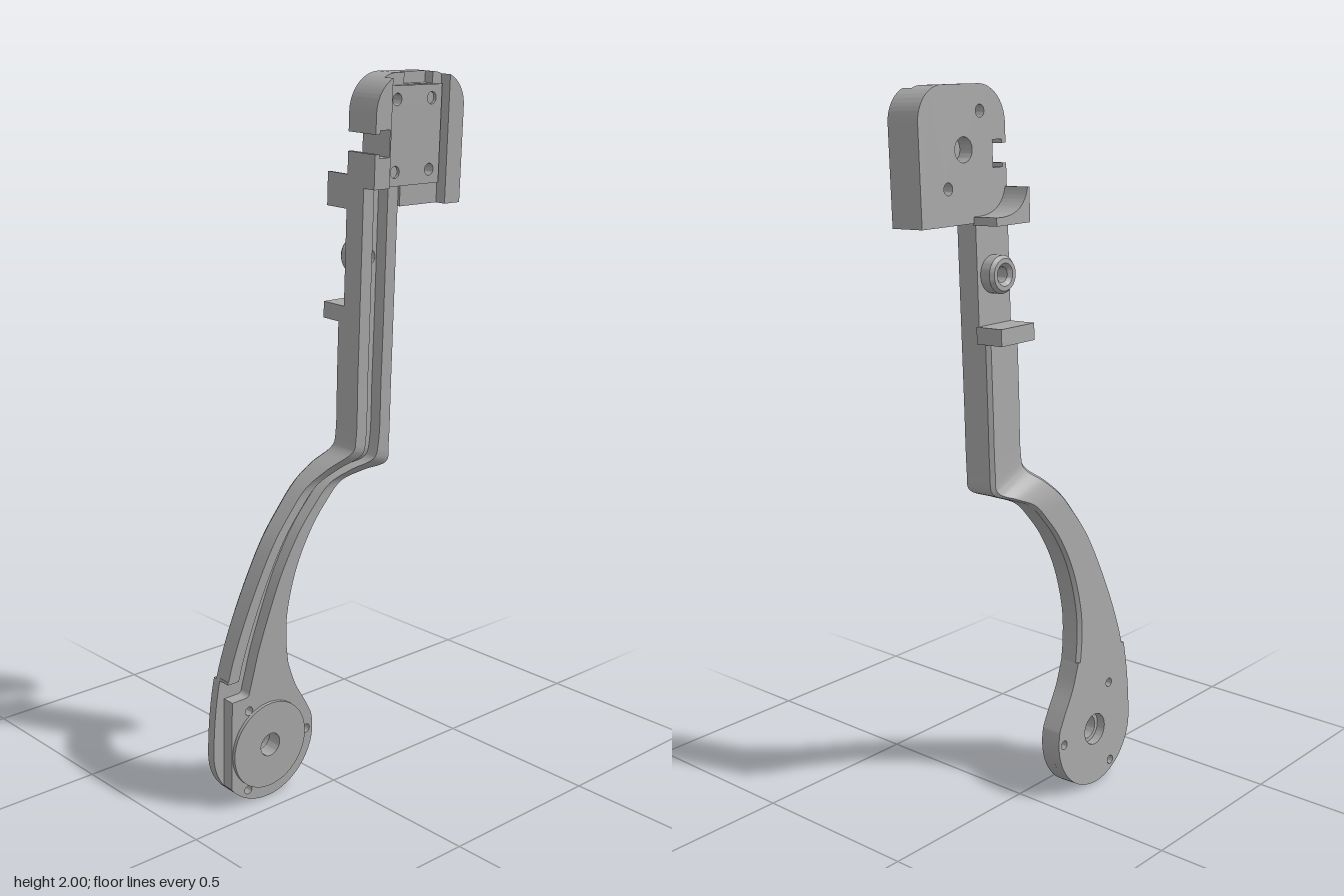
import * as THREE from 'three';
import { toCreasedNormals } from 'three/addons/utils/BufferGeometryUtils.js';

const grey = new THREE.MeshStandardMaterial({ color: 0xa8a8a8 });
grey.name = 'plain grey';
const TILT = 0.037;
const V = (x, y, z = 0) => new THREE.Vector3(x, y, z);

function add(parent, name, geometry) {
  const mesh = new THREE.Mesh(geometry, grey);
  mesh.name = name;
  parent.add(mesh);
  return mesh;
}

function box(parent, name, x0, x1, y0, y1, z0, z1) {
  const m = add(parent, name, new THREE.BoxGeometry(x1 - x0, y1 - y0, z1 - z0));
  m.position.set((x0 + x1) / 2, (y0 + y1) / 2, (z0 + z1) / 2);
  return m;
}

// Flat part cut from a shape between two depths, with round holes [x, y, r]
function slab(parent, name, shape, z0, z1, holes = []) {
  for (const [x, y, r] of holes) {
    shape.holes.push(new THREE.Path().absarc(x, y, r, 0, Math.PI * 2, true));
  }
  const g = new THREE.ExtrudeGeometry(shape, { depth: z1 - z0, bevelEnabled: false, curveSegments: 24 });
  g.translate(0, 0, z0);
  return add(parent, name, toCreasedNormals(g, 0.5));
}

function polygon(points) {
  return new THREE.Shape(points.map(([x, y]) => new THREE.Vector2(x, y)));
}

// Arm: U-shaped section swept down the straight, through the bend and along the curve.
// Each station: outer x, y, inner x, y, front z, back z
const stations = [
  [0.035, 1.37, 0.16, 1.37, 0.013, -0.08],
  [0.035, 1.2, 0.16, 1.18, 0.013, -0.08],
  [0.035, 1.03, 0.16, 1.0, 0.013, -0.08],
  [0.028, 0.995, 0.157, 0.945, 0.008, -0.085],
  [-0.025, 0.95, 0.11, 0.922, -0.028, -0.11],
  [-0.08, 0.9, 0.05, 0.895, -0.056, -0.121],
  [-0.135, 0.835, -0.003, 0.842, -0.06, -0.122],
  [-0.19, 0.76, -0.055, 0.775, -0.06, -0.122],
  [-0.25, 0.645, -0.107, 0.67, -0.06, -0.122],
  [-0.3, 0.53, -0.138, 0.54, -0.06, -0.122],
  [-0.33, 0.445, -0.138, 0.45, -0.06, -0.122],
  [-0.345, 0.39, -0.13, 0.39, -0.06, -0.122],
];

function armGeometry() {
  const curve = (f) => new THREE.CatmullRomCurve3(stations.map(f));
  const outer = curve((s) => V(s[0], s[1]));
  const inner = curve((s) => V(s[2], s[3]));
  const depth = curve((s, i) => V(s[4], s[5], i));
  const steps = 55, n = 10, c = 0.01;
  const pos = [], index = [];
  for (let i = 0; i <= steps; i++) {
    const t = i / steps;
    const l = outer.getPoint(t), r = inner.getPoint(t), d = depth.getPoint(t);
    const front = d.x, back = d.y, floor = front - 0.036, w = l.distanceTo(r);
    const section = [
      [0, front], [0.038, front], [0.038, floor], [0.088, floor], [0.088, front],
      [w, front], [w, back + c], [w - c, back], [c, back], [0, back + c],
    ];
    for (const [s, z] of section) {
      const p = l.clone().lerp(r, s / w);
      pos.push(p.x, p.y, z);
    }
  }
  for (let i = 0; i < steps; i++) {
    for (let j = 0; j < n; j++) {
      const a = i * n + j, b = i * n + ((j + 1) % n);
      index.push(a, a + n, b, b, a + n, b + n);
    }
  }
  const g = new THREE.BufferGeometry();
  g.setAttribute('position', new THREE.Float32BufferAttribute(pos, 3));
  g.setIndex(index);
  return toCreasedNormals(g, 0.55);
}

function buildArm(g) {
  add(g, 'curvedArm', armGeometry());
  box(g, 'outerRimEnd', -0.345, -0.307, 0.388, 0.396, -0.097, -0.06);

  // Thinner top of the arm, with the hole through its channel floor
  const floor = polygon([[0.035, 1.365], [0.16, 1.365], [0.16, 1.71], [0.035, 1.71]]);
  slab(g, 'upperChannelFloor', floor, -0.05, -0.023, [[0.098, 1.52, 0.02]]);
  box(g, 'upperChannelWall', 0.035, 0.073, 1.365, 1.71, -0.023, 0.013);
  box(g, 'upperChannelWall', 0.123, 0.16, 1.365, 1.71, -0.023, 0.013);

  // Rear boss, shelf and saddle
  const ring = [[0.02, 0], [0.05, 0], [0.05, 0.03], [0.042, 0.04], [0.03, 0.04], [0.02, 0.03], [0.02, 0]]
    .map(([r, h]) => new THREE.Vector2(r, h));
  const boss = add(g, 'rearBoss', toCreasedNormals(new THREE.LatheGeometry(ring, 40), 0.5));
  boss.rotation.x = -Math.PI / 2;
  boss.position.set(0.098, 1.52, -0.05);
  box(g, 'rearShelf', 0.035, 0.165, 1.345, 1.39, -0.13, -0.045);
  const saddle = new THREE.Shape();
  saddle.moveTo(0.035, 1.65);
  saddle.lineTo(0.165, 1.65);
  saddle.lineTo(0.165, 1.672);
  saddle.quadraticCurveTo(0.06, 1.665, 0.042, 1.74);
  saddle.lineTo(0.035, 1.74);
  slab(g, 'rearSaddle', saddle, -0.126, -0.045);
}

function buildFoot(g) {
  const cx = -0.2, cy = 0.165, R = 0.165;
  const screws = [0, 1, 2].map((i) => {
    const a = (i * Math.PI * 2) / 3;
    return [cx + 0.141 * Math.cos(a), cy + 0.141 * Math.sin(a), 0.013];
  });
  const finish = (s, start) => {
    s.absarc(cx, cy, R, start, Math.PI * 2 + 0.3, false);
    s.splineThru([[-0.066, 0.257], [-0.103, 0.32], [-0.13, 0.39]].map(([x, y]) => new THREE.Vector2(x, y)));
    return s;
  };
  // Full-width rear plate
  const plate = new THREE.Shape();
  plate.moveTo(-0.345, 0.39);
  plate.quadraticCurveTo(-0.365, 0.29, -0.365, 0.165);
  slab(g, 'footPlate', finish(plate, Math.PI), -0.122, -0.096, [...screws, [cx, cy, 0.046]]);
  // Front body, stepped in where the channel runs out
  const body = new THREE.Shape();
  body.moveTo(-0.257, 0.39);
  body.quadraticCurveTo(-0.268, 0.35, -0.27, 0.34);
  body.quadraticCurveTo(-0.272, 0.33, -0.285, 0.33);
  body.lineTo(-0.33, 0.33);
  body.lineTo(-0.33, 0.064);
  slab(g, 'footBody', finish(body, 3.8), -0.096, -0.06, [...screws, [cx, cy, 0.034]]);
  // Raised round pad
  const pad = new THREE.Shape().absarc(cx, cy, 0.128, 0, Math.PI * 2, false);
  slab(g, 'pivotPad', pad, -0.06, -0.05, [[cx, cy, 0.034]]);
}

// Notch on the left edge of the head, followed upward or downward
const notch = [[0.035, 1.85], [0.05, 1.85], [0.05, 1.86], [0.086, 1.86], [0.086, 1.79], [0.05, 1.79], [0.05, 1.8], [0.035, 1.8]];

function headShape(slotted) {
  const s = new THREE.Shape();
  s.moveTo(0.16, 1.655);
  s.lineTo(0.355, 1.655);
  s.lineTo(0.355, 1.91);
  s.absarc(0.265, 1.91, 0.09, 0, Math.PI / 2, false);
  if (slotted) [[0.265, 1.97], [0.16, 1.97], [0.16, 2]].forEach(([x, y]) => s.lineTo(x, y));
  s.lineTo(0.135, 2);
  s.absarc(0.135, 1.9, 0.1, Math.PI / 2, Math.PI, false);
  notch.forEach(([x, y]) => s.lineTo(x, y));
  s.lineTo(0.035, 1.71);
  s.lineTo(0.16, 1.71);
  return s;
}

function buildHead(g) {
  const through = [[0.13, 1.933, 0.016], [0.256, 1.747, 0.016]];
  const blind = [[0.256, 1.933, 0.016], [0.13, 1.747, 0.016]];
  slab(g, 'headBack', headShape(false), -0.05, -0.008, [...through, [0.195, 1.84, 0.032]]);
  slab(g, 'headCore', headShape(true), -0.008, 0.02, through);
  const plate = polygon([[0.1, 1.71], [0.293, 1.71], [0.293, 1.968], [0.1, 1.968]]);
  slab(g, 'mountingPlate', plate, 0.02, 0.029, [...through, ...blind]);

  // Raised side rails
  const left = new THREE.Shape();
  left.moveTo(0.035, 1.71);
  left.lineTo(0.09, 1.71);
  left.lineTo(0.09, 1.989);
  left.absarc(0.135, 1.9, 0.1, 2.04, Math.PI, false);
  notch.forEach(([x, y]) => left.lineTo(x, y));
  slab(g, 'leftRail', left, 0.02, 0.052);
  const right = new THREE.Shape();
  right.moveTo(0.298, 1.655);
  right.lineTo(0.355, 1.655);
  right.lineTo(0.355, 1.91);
  right.absarc(0.265, 1.91, 0.09, 0, 1.19, false);
  slab(g, 'rightRail', right, 0.02, 0.052);
}

export function createModel() {
  const model = new THREE.Group();
  model.name = 'bracketArm';
  const leaning = new THREE.Group();
  leaning.name = 'leaningArm';
  for (const [name, build] of [['arm', buildArm], ['foot', buildFoot], ['head', buildHead]]) {
    const part = new THREE.Group();
    part.name = name;
    build(part);
    leaning.add(part);
  }
  leaning.rotation.x = TILT;
  leaning.position.y = -0.002;
  model.add(leaning);
  return model;
}
